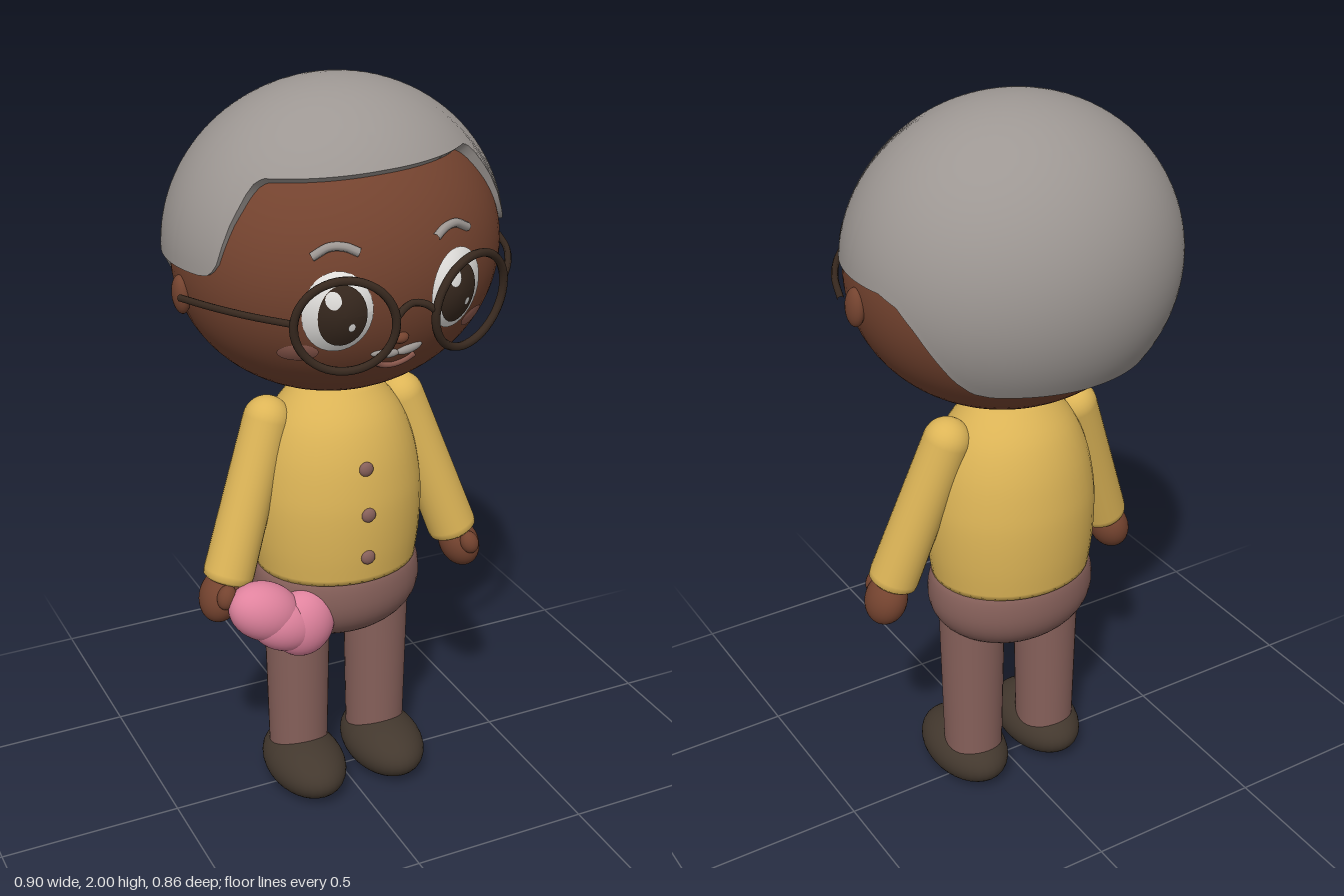
import * as THREE from 'three';
import { toCreasedNormals } from 'three/addons/utils/BufferGeometryUtils.js';

const V = (x, y, z) => new THREE.Vector3(x, y, z);
const material = (name, color) => {
  const m = new THREE.MeshStandardMaterial({ color });
  m.name = name;
  return m;
};

export function createModel() {
  const skin = material('skin', 0x74432f);
  const grey = material('greyHair', 0x9d9793);
  const yellow = material('yellowKnit', 0xddb557);
  const brown = material('trouserBrown', 0x86605a);
  const shoe = material('shoeBrown', 0x43382e);
  const pink = material('pinkCloth', 0xe0839e);
  const dark = material('darkFrame', 0x38291f);
  const white = material('eyeWhite', 0xe9e7e4);
  const blush = material('blush', 0x8d5a4e);

  const model = new THREE.Group();
  const add = (parent, name, geo, mat, pos = [0, 0, 0]) => {
    const m = new THREE.Mesh(geo, mat);
    m.name = name;
    m.position.set(...pos);
    parent.add(m);
    return m;
  };
  const ellipsoid = (parent, name, mat, pos, r, ws = 32, hs = 22) => {
    const g = new THREE.SphereGeometry(1, ws, hs).scale(...r);
    return add(parent, name, g, mat, pos);
  };
  const lathe = (pts, seg = 40) => new THREE.LatheGeometry(pts.map(p => new THREE.Vector2(...p)), seg);
  const tube = (pts, r, seg = 24) =>
    new THREE.TubeGeometry(new THREE.CatmullRomCurve3(pts), seg, r, 8);

  // Torso and hips: oval lathes
  const smooth = (pts, n) => new THREE.SplineCurve(pts.map(p => new THREE.Vector2(...p)))
    .getPoints(n).map(p => [Math.max(p.x, 0), p.y]);
  const torso = smooth([[0.222, 0.69], [0.232, 0.77], [0.236, 0.86], [0.231, 0.94],
    [0.211, 1.04], [0.173, 1.13], [0.11, 1.21]], 24);
  add(model, 'sweater', lathe([[0, 0.69], ...torso, [0, 1.22]]).scale(1, 1, 0.87), yellow, [0, 0, -0.025]);
  const hips = smooth([[0, 0.465], [0.08, 0.476], [0.165, 0.512], [0.217, 0.56],
    [0.236, 0.62], [0.224, 0.69], [0.18, 0.71]], 24);
  add(model, 'trouserHips', lathe(hips).scale(1, 1, 0.83), brown, [0, 0, -0.025]);
  [[1.02, 0.163], [0.895, 0.18], [0.77, 0.178]].forEach(([y, z]) =>
    ellipsoid(model, 'button', brown, [0, y, z], [0.02, 0.02, 0.012], 16, 10));

  // Limbs, mirrored
  for (const s of [-1, 1]) {
    const side = s > 0 ? 'left' : 'right';
    add(model, side + 'TrouserLeg', new THREE.CylinderGeometry(0.091, 0.082, 0.47, 32), brown, [s * 0.12, 0.325, -0.02]);

    const shoeGeo = new THREE.SphereGeometry(1, 32, 24).scale(0.108, 0.083, 0.165);
    const p = shoeGeo.attributes.position;
    for (let i = 0; i < p.count; i++) p.setY(i, Math.max(p.getY(i), -0.073));
    shoeGeo.computeVertexNormals();
    add(model, side + 'Shoe', shoeGeo, shoe, [s * 0.123, 0.073, 0.025]);

    const shoulder = V(s * 0.195, 1.122, -0.03), wrist = V(s * 0.34, 0.705, 0.025);
    const dir = shoulder.clone().sub(wrist), len = dir.length();
    const turn = new THREE.Quaternion().setFromUnitVectors(V(0, 1, 0), dir.normalize());
    const profile = [[0, 0], [0.056, 0], [0.066, 0.008], [0.068, 0.025]];
    for (let i = 0; i <= 8; i++) {
      const a = (i / 8) * Math.PI / 2;
      profile.push([0.063 * Math.cos(a), len + 0.063 * Math.sin(a)]);
    }
    add(model, side + 'Sleeve', lathe(profile, 28), yellow, wrist.toArray()).quaternion.copy(turn);
    ellipsoid(model, side + 'Hand', skin, [s * 0.36, 0.662, 0.022], [0.054, 0.072, 0.064]).quaternion.copy(turn);
    ellipsoid(model, side + 'Thumb', skin, [s * 0.362, 0.685, 0.078], [0.026, 0.034, 0.026], 16, 12).quaternion.copy(turn);
  }

  // Bunched cloth held in the right hand
  const cloth = new THREE.Group();
  cloth.name = 'pinkCloth';
  cloth.position.set(-0.22, 0.605, 0.105);
  cloth.rotation.z = -0.42;
  model.add(cloth);
  ellipsoid(cloth, 'clothFold', pink, [-0.055, 0.008, 0], [0.105, 0.08, 0.072]).rotation.z = -0.1;
  ellipsoid(cloth, 'clothFold', pink, [0.065, 0.0, 0.008], [0.088, 0.096, 0.066]).rotation.z = 0.25;
  ellipsoid(cloth, 'clothFold', pink, [0.01, -0.012, 0.01], [0.1, 0.075, 0.066]);

  // Head, slightly tilted
  const head = new THREE.Group();
  head.name = 'head';
  head.position.y = 1.575;
  head.rotation.z = 0.045;
  model.add(head);
  const R = [0.424, 0.37, 0.375], HZ = -0.02;
  ellipsoid(head, 'face', skin, [0, 0, HZ], R, 64, 44);
  const faceZ = (x, y) => HZ + R[2] * Math.sqrt(Math.max(0, 1 - (x / R[0]) ** 2 - (y / R[1]) ** 2));

  // Hair shell: azimuth in degrees from the front against hairline height
  const hairline = [[0, 0.265], [49, 0.262], [53, 0.245], [58, 0.16], [62, 0.065], [65, 0.037], [70, 0.03],
    [104, 0.03], [112, 0.01], [119, -0.04], [131, -0.165], [137, -0.202], [144, -0.212], [180, -0.215]];
  const edge = deg => {
    const k = Math.max(1, hairline.findIndex(h => h[0] >= deg));
    const [a0, y0] = hairline[k - 1], [a1, y1] = hairline[k];
    return y0 + (y1 - y0) * (deg - a0) / (a1 - a0);
  };
  const rows = 26, cols = 180, pos = [], idx = [];
  for (let i = 0; i <= rows + 1; i++) {
    for (let j = 0; j <= cols; j++) {
      const deg = -180 + (360 * j) / cols, a = deg * Math.PI / 180;
      const limit = Math.acos((edge(Math.abs(deg)) - 0.015) / 0.41);
      const t = limit * Math.min(i, rows) / rows, k = i > rows ? 0.9 : 1;
      pos.push(0.44 * k * Math.sin(t) * Math.sin(a), 0.015 + 0.41 * k * Math.cos(t),
        -0.035 + 0.39 * k * Math.sin(t) * Math.cos(a));
      if (i <= rows && j < cols) {
        const q = i * (cols + 1) + j, d = q + cols + 1;
        if (i > 0) idx.push(q, d + 1, q + 1);
        idx.push(q, d, d + 1);
      }
    }
  }
  const hairGeo = new THREE.BufferGeometry();
  hairGeo.setAttribute('position', new THREE.Float32BufferAttribute(pos, 3));
  hairGeo.setIndex(idx);
  add(head, 'hair', toCreasedNormals(hairGeo, 0.8), grey);

  // Oval plates that follow the surface below them
  const patch = (name, mat, cx, cy, rx, ry, base, lift, bulge = 0) => {
    const g = new THREE.RingGeometry(0, 1, 32, 6), p = g.attributes.position;
    for (let i = 0; i < p.count; i++) {
      const u = p.getX(i), v = p.getY(i), x = cx + u * rx, y = cy + v * ry;
      p.setXYZ(i, x, y, base(x, y) + lift + bulge * (1 - u * u - v * v));
    }
    g.computeVertexNormals();
    add(head, name, g, mat);
  };
  const onFace = (pts, lift) => pts.map(([x, y]) => V(x, y, faceZ(x, y) + lift));

  for (const s of [-1, 1]) {
    const side = s > 0 ? 'left' : 'right';
    const ex = s * 0.157, ey = -0.042, erx = 0.08, ery = 0.105;
    const eyeZ = (x, y) => faceZ(x, y) + 0.003
      + 0.022 * Math.max(0, 1 - ((x - ex) / erx) ** 2 - ((y - ey) / ery) ** 2);
    patch(side + 'Eye', white, ex, ey, erx, ery, faceZ, 0.003, 0.022);
    patch(side + 'Iris', dark, ex - s * 0.004, ey - 0.004, 0.056, 0.08, eyeZ, 0.003);
    patch(side + 'EyeGlint', white, ex - 0.02, ey + 0.042, 0.017, 0.022, eyeZ, 0.006);
    patch(side + 'EyeGlint', white, ex + 0.02, ey - 0.03, 0.009, 0.011, eyeZ, 0.006);
    patch(side + 'Cheek', blush, s * 0.235, -0.15, 0.042, 0.025, faceZ, 0.003, 0.004);

    const brow = [[0.1, 0.1], [0.13, 0.115], [0.165, 0.117], [0.205, 0.097]].map(([x, y]) => [s * x, y]);
    add(head, side + 'Eyebrow', tube(onFace(brow, 0.002), 0.011), grey);
    ellipsoid(head, side + 'Moustache', grey, [s * 0.033, -0.174, faceZ(0.033, -0.174)], [0.037, 0.013, 0.012], 20, 12)
      .rotation.set(0, s * 0.1, s * 0.12);
    ellipsoid(head, side + 'Ear', skin, [s * 0.425, -0.05, -0.01], [0.022, 0.05, 0.034], 20, 14);

    // Spectacle rim and temple
    const rim = add(head, side + 'SpectacleRim', new THREE.TorusGeometry(0.12, 0.0105, 8, 48), dark, [s * 0.165, -0.055, 0.378]);
    rim.rotation.set(0.14, s * 0.34, 0, 'YXZ');
    add(head, side + 'SpectacleTemple', tube([V(s * 0.277, -0.04, 0.338), V(s * 0.345, -0.038, 0.245),
      V(s * 0.4, -0.038, 0.145), V(s * 0.442, -0.043, 0.03)], 0.009), dark);
  }
  add(head, 'spectacleBridge', tube([V(-0.053, -0.045, 0.418), V(-0.028, -0.026, 0.412), V(0, -0.02, 0.405),
    V(0.028, -0.026, 0.412), V(0.053, -0.045, 0.418)], 0.009), dark);
  ellipsoid(head, 'nose', skin, [0, -0.133, faceZ(0, -0.133)], [0.022, 0.015, 0.018], 16, 12);
  add(head, 'mouth', tube(onFace([[-0.055, -0.197], [-0.03, -0.213], [0, -0.219], [0.03, -0.213], [0.055, -0.197]], 0), 0.009), blush);

  return model;
}
